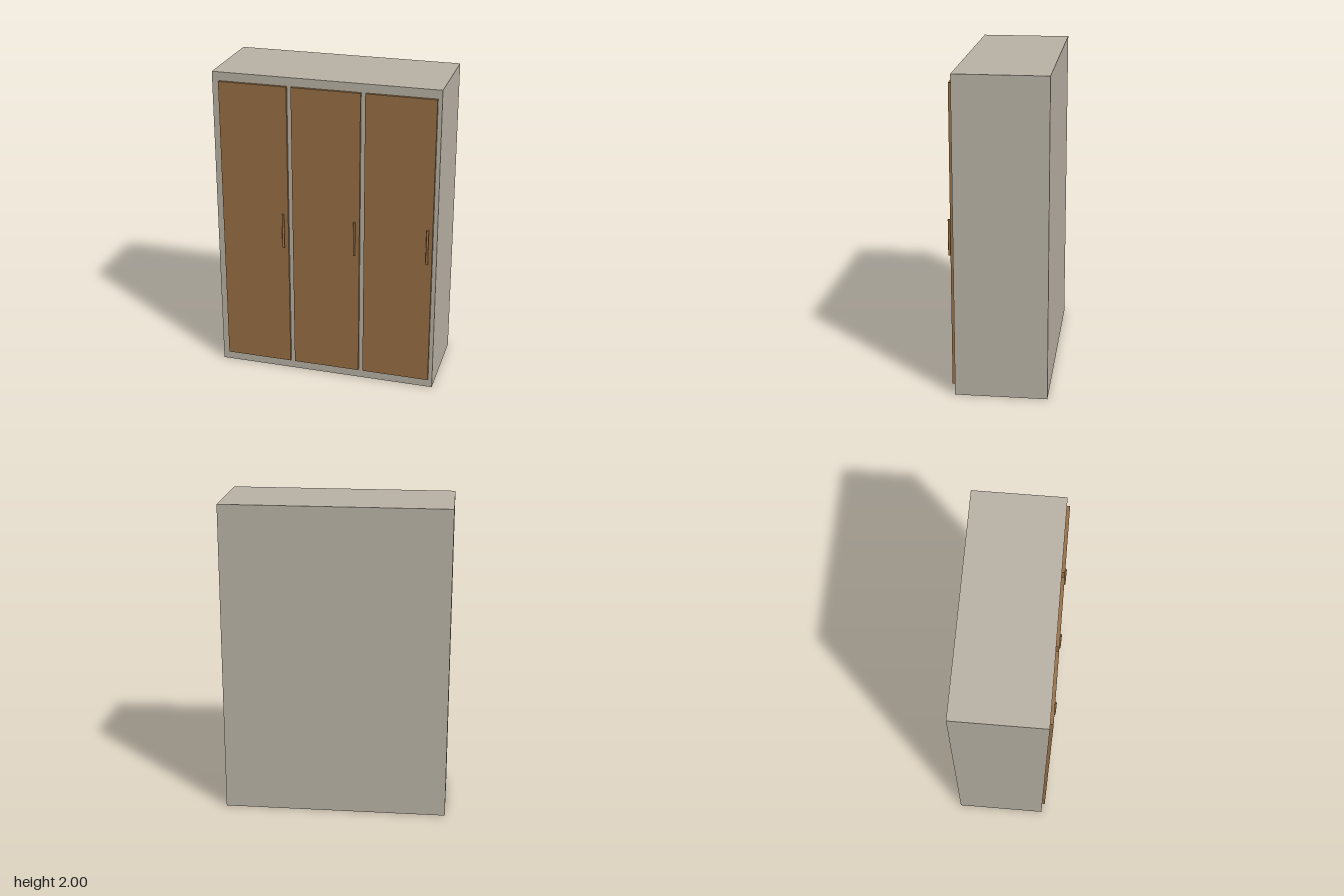
import * as THREE from 'three';

export function createModel() {
  const group = new THREE.Group();
  group.name = 'wardrobe';

  const stone = new THREE.MeshStandardMaterial({ color: 0xb8b1a4 });
  stone.name = 'warm grey';
  const wood = new THREE.MeshStandardMaterial({ color: 0x976f45 });
  wood.name = 'brown wood';

  const add = (name, geometry, material, x, y, z) => {
    const mesh = new THREE.Mesh(geometry, material);
    mesh.name = name;
    mesh.position.set(x, y, z);
    group.add(mesh);
  };

  // Cabinet body
  const width = 1.424, height = 2, back = -0.304, front = 0.266;
  add('cabinet', new THREE.BoxGeometry(width, height, front - back), stone,
    0, height / 2, (front + back) / 2);

  // Three doors, each with an upright bar handle near its +x edge
  const doorThickness = 0.019, handleRadius = 0.0075;
  const door = new THREE.BoxGeometry(0.432, 1.885, doorThickness);
  const handle = new THREE.CylinderGeometry(handleRadius, handleRadius, 0.226, 16);
  ['right', 'middle', 'left'].forEach((side, i) => {
    const x = 0.0095 + (i - 1) * 0.461;
    add(`${side}Door`, door, wood, x, 1.0025, front + doorThickness / 2);
    add(`${side}Handle`, handle, wood, x + 0.186, 1.0025, 0.2965);
  });

  return group;
}
